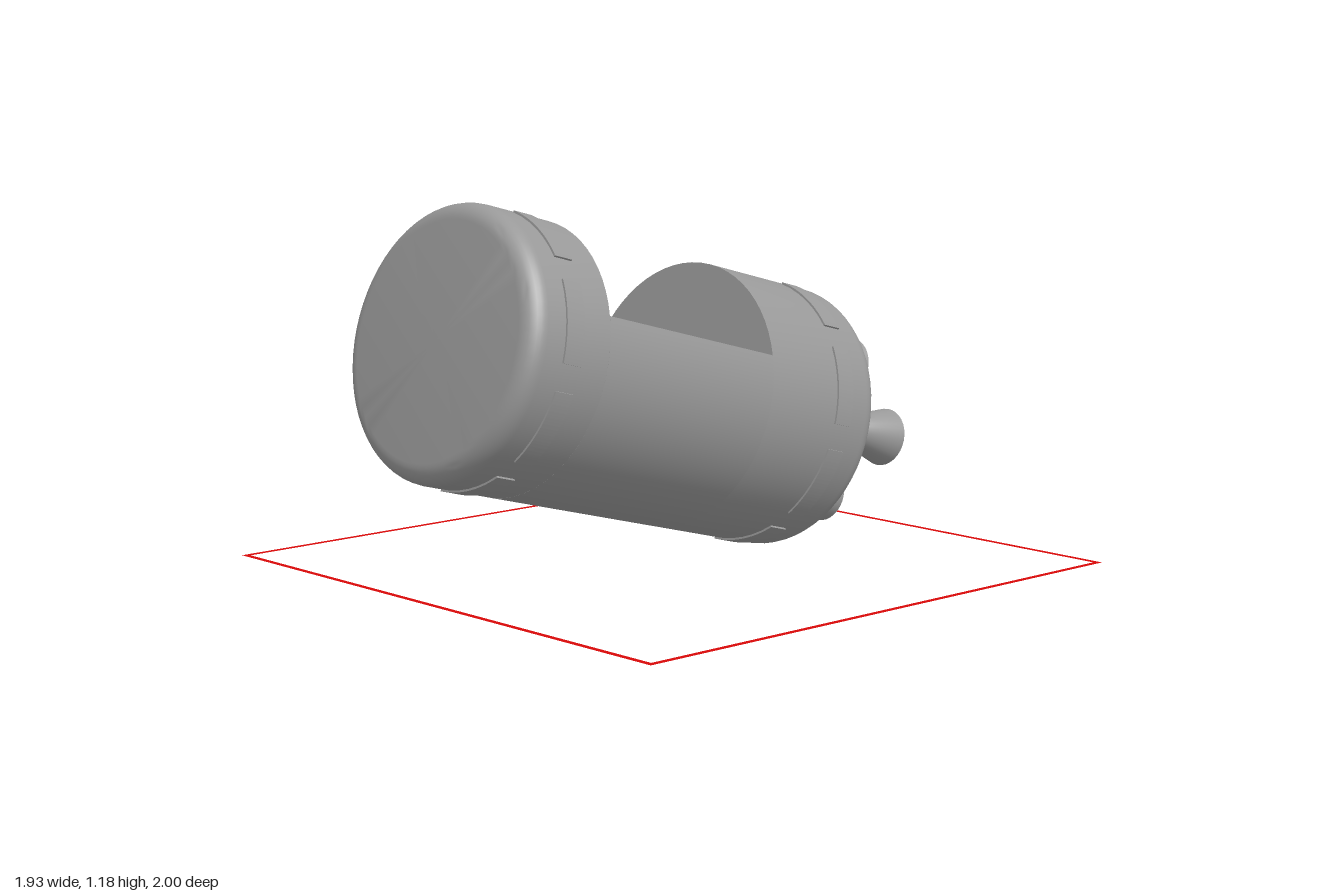
import * as THREE from 'three';
import { toCreasedNormals } from 'three/addons/utils/BufferGeometryUtils.js';

const R = 0.423;            // hull radius
const SILL = 0.165;         // height of the bay edge above the hull axis
const BAY_BACK = -0.25, BAY_FRONT = 0.44, BACK = -0.74, FRONT = 0.743;

const hullGrey = new THREE.MeshStandardMaterial({ color: 0x999999 });
hullGrey.name = 'hullGrey';
const frameRed = new THREE.MeshStandardMaterial({ color: 0xd80808, side: THREE.DoubleSide });
frameRed.name = 'frameRed';

function part(parent, name, geometry, material = hullGrey) {
  const mesh = new THREE.Mesh(geometry, material);
  mesh.name = name;
  parent.add(mesh);
  return mesh;
}

// Solid of revolution about z; points are [radius, z] with z rising
function turned(points, segments = 64) {
  const g = new THREE.LatheGeometry(points.map(p => new THREE.Vector2(...p)), segments);
  return toCreasedNormals(g.rotateX(Math.PI / 2), 0.5);
}

// Quarter-round edge from angle a to angle b
function rounded(cz, a, b, r = 0.06) {
  return Array.from({ length: 9 }, (_, i) => {
    const t = a + (b - a) * i / 8;
    return [R - r + r * Math.cos(t), cz + r * Math.sin(t)];
  });
}

function extruded(shape, depth, z) {
  const g = new THREE.ExtrudeGeometry(shape, { depth, bevelEnabled: false, curveSegments: 48 });
  return toCreasedNormals(g.translate(0, 0, z), 0.5);
}

// Thin raised plate wrapped on the hull, angle in degrees from the top towards +x
function plateShape(from, sweep) {
  const a = Math.PI / 2 - THREE.MathUtils.degToRad(from);
  const b = a - THREE.MathUtils.degToRad(sweep);
  const s = new THREE.Shape();
  s.absarc(0, 0, R + 0.006, a, b, true);
  s.absarc(0, 0, R - 0.004, b, a, false);
  return s;
}

// Bell nozzle with mount and hollow inside, pointing along -z
function nozzleGeometry() {
  const bell = wall => Array.from({ length: 13 }, (_, i) => {
    const u = i / 12;
    return [0.026 + 0.068 * Math.pow(u, 0.7) - wall, -0.82 - 0.185 * u];
  });
  return turned([
    [0, -0.83], ...bell(0.007),
    ...bell(0).reverse(),
    [0.034, -0.815], [0.034, -0.803], [0.058, -0.8], [0.058, -0.77],
  ], 32);
}

export function createModel() {
  const model = new THREE.Group();
  model.name = 'spacecraft';

  const craft = new THREE.Group();
  craft.name = 'craft';
  craft.position.set(0, 0.5925, 0.182);
  craft.rotation.x = -Math.PI / 12;
  model.add(craft);

  // Closed front and rear hull sections
  part(craft, 'frontHull', turned([
    [0, BAY_FRONT], [R, BAY_FRONT],
    ...rounded(FRONT - 0.06, 0, Math.PI / 2), [0, FRONT],
  ]));
  part(craft, 'rearHull', turned([
    [0, BACK], ...rounded(BACK + 0.06, -Math.PI / 2, 0),
    [R, BAY_BACK], [0, BAY_BACK],
  ]));

  // Open bay with a half-round trough
  const edge = Math.asin(SILL / R);
  const trough = new THREE.Shape();
  trough.absarc(0, 0, R, edge, Math.PI - edge, true);
  trough.absarc(0, SILL, R * Math.cos(edge), Math.PI, 2 * Math.PI, false);
  part(craft, 'openBay', extruded(trough, BAY_FRONT - BAY_BACK, BAY_BACK));

  // Two rings of raised plates
  for (const [name, z] of [['frontPlate', 0.547], ['rearPlate', -0.61]]) {
    for (const from of [11, 56, 101, 146, 191, 226, 270, 315]) {
      part(craft, name, extruded(plateShape(from, 34), 0.068, z));
    }
  }

  // Engine base and four engines
  part(craft, 'engineBase', turned([
    [0, -0.775], [0.325, -0.775], [0.335, -0.765], [0.335, BACK + 0.01],
  ]));
  const nozzle = nozzleGeometry();
  for (let i = 0; i < 4; i++) {
    const a = i * Math.PI / 2;
    part(craft, 'engineNozzle', nozzle)
      .position.set(0.215 * Math.cos(a), 0.215 * Math.sin(a), 0);
  }

  // Flat square outline on the ground
  const square = h => [[-h, -h], [h, -h], [h, h], [-h, h]].map(p => new THREE.Vector2(...p));
  const outline = new THREE.Shape(square(0.9675));
  outline.holes.push(new THREE.Path(square(0.9475)));
  part(model, 'groundFrame', new THREE.ShapeGeometry(outline).rotateX(-Math.PI / 2), frameRed)
    .position.z = -0.0325;

  return model;
}
